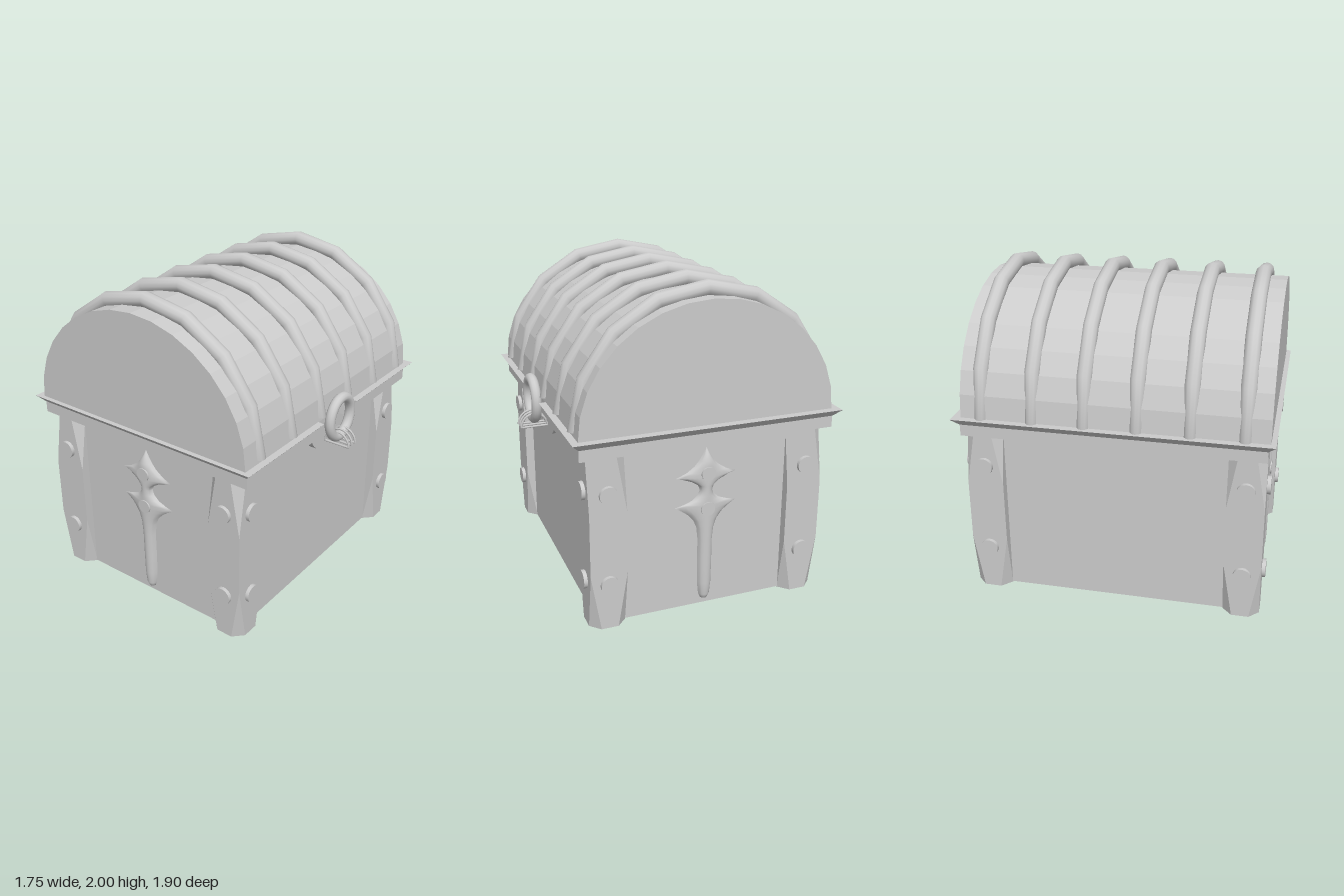
import * as THREE from 'three';

const CX = -0.043; // centre line of the chest in x
const flat = new THREE.MeshStandardMaterial({ color: 0xcccccc, flatShading: true });
const smooth = new THREE.MeshStandardMaterial({ color: 0xcccccc });
const smoothOpen = new THREE.MeshStandardMaterial({ color: 0xcccccc, side: THREE.DoubleSide });

function add(parent, name, geometry, material, x = 0, y = 0, z = 0) {
  const mesh = new THREE.Mesh(geometry, material);
  mesh.name = name;
  mesh.position.set(x, y, z);
  parent.add(mesh);
  return mesh;
}

// Solid through stacked horizontal outlines: [{ y, pts: [[x, z], ...] }]
function loft(sections) {
  const n = sections[0].pts.length;
  const pos = [], idx = [];
  sections.forEach(s => s.pts.forEach(([x, z]) => pos.push(x, s.y, z)));
  for (let k = 0; k < sections.length - 1; k++) {
    for (let i = 0; i < n; i++) {
      const a = k * n + i, b = k * n + (i + 1) % n;
      idx.push(a, a + n, b, b, a + n, b + n);
    }
  }
  // End caps, each triangle turned to face outward
  [[0, -1], [sections.length - 1, 1]].forEach(([k, dir]) => {
    const p = sections[k].pts;
    const tris = THREE.ShapeUtils.triangulateShape(p.map(q => new THREE.Vector2(q[0], q[1])), []);
    tris.forEach(([a, b, c]) => {
      const up = (p[b][1] - p[a][1]) * (p[c][0] - p[a][0]) - (p[b][0] - p[a][0]) * (p[c][1] - p[a][1]);
      if (up * dir < 0) [b, c] = [c, b];
      idx.push(k * n + a, k * n + b, k * n + c);
    });
  });
  const g = new THREE.BufferGeometry();
  g.setAttribute('position', new THREE.Float32BufferAttribute(pos, 3));
  g.setIndex(idx);
  g.computeVertexNormals();
  return g;
}

// Square post whose corners are chamfered toward both ends
function postGeometry() {
  const h = 0.1125;
  const outline = c => [[-h + c, -h], [h - c, -h], [h, -h + c], [h, h - c],
    [h - c, h], [-h + c, h], [-h, h - c], [-h, -h + c]];
  return loft([[0, 0.06], [0.355, 0], [0.735, 0], [1.08, 0.06]].map(([y, c]) => ({ y, pts: outline(c) })));
}

// Moulding with a notch in the +x side for the lock; o is the outward offset
function rimOutline(o) {
  const l = -0.832 - o, r = 0.742 + o, z = 0.905 + o;
  return [[l, -z], [r, -z], [r, -0.195], [0.6, -0.17], [0.6, 0.17], [r, 0.195], [r, z], [l, z]];
}

// Domed relief: half-width follows the profile, depth falls off to the edges
function ornamentGeometry() {
  const profile = [[0.04, 0], [0.05, 0.022], [0.08, 0.035], [0.16, 0.044], [0.3, 0.046], [0.45, 0.046],
    [0.53, 0.055], [0.58, 0.075], [0.62, 0.11], [0.65, 0.15], [0.678, 0.195], [0.69, 0.14], [0.71, 0.085],
    [0.74, 0.05], [0.775, 0.038], [0.805, 0.05], [0.83, 0.09], [0.85, 0.14], [0.865, 0.19],
    [0.89, 0.125], [0.925, 0.075], [0.96, 0.045], [1.0, 0.02], [1.038, 0]];
  const cols = 12, pos = [], idx = [];
  profile.forEach(([y, w], k) => {
    const depth = 0.04 * Math.min(1, w / 0.04);
    for (let i = 0; i <= cols; i++) {
      const x = w * (2 * i / cols - 1);
      const fall = w ? Math.sqrt(1 - (x / w) ** 2) * Math.exp(-((x / 0.15) ** 2)) : 0;
      pos.push(x, y, depth * fall);
      if (k && i) {
        const d = k * (cols + 1) + i, c = d - 1, b = d - cols - 1, a = b - 1;
        idx.push(a, b, d, a, d, c);
      }
    }
  });
  const g = new THREE.BufferGeometry();
  g.setAttribute('position', new THREE.Float32BufferAttribute(pos, 3));
  g.setIndex(idx);
  g.computeVertexNormals();
  return g;
}

// Half-ellipse path for the lid ribs
class ArchCurve extends THREE.Curve {
  getPoint(t, target = new THREE.Vector3()) {
    const a = Math.PI * (1 - t);
    return target.set(0.765 * Math.cos(a), 0.753 * Math.sin(a), 0);
  }
}

export function createModel() {
  const chest = new THREE.Group();
  chest.name = 'chest';

  add(chest, 'body', new THREE.BoxGeometry(1.355, 1.18, 1.7), flat, CX, 0.597, 0);

  // Corner posts with rivets on both outer faces
  const postGeo = postGeometry();
  const rivetGeo = new THREE.CylinderGeometry(0.055, 0.055, 0.05, 20);
  for (const sx of [-1, 1]) for (const sz of [-1, 1]) {
    const corner = new THREE.Group();
    corner.name = 'cornerPost';
    corner.position.set(CX + sx * 0.6225, 0, sz * 0.7925);
    add(corner, 'post', postGeo, flat);
    for (const y of [0.29, 0.857]) {
      add(corner, 'sideRivet', rivetGeo, smooth, sx * 0.11, y, 0).rotation.z = Math.PI / 2;
      add(corner, 'endRivet', rivetGeo, smooth, 0, y, sz * 0.11).rotation.x = Math.PI / 2;
    }
    chest.add(corner);
  }

  // Rim: upright band with a flared lip
  add(chest, 'rim', loft([[1.075, 0], [1.145, 0], [1.19, 0.043]]
    .map(([y, o]) => ({ y, pts: rimOutline(o) }))), flat);

  // Barrel lid
  const arch = new THREE.Shape();
  for (let i = 0; i <= 16; i++) {
    const a = Math.PI * i / 16;
    arch[i ? 'lineTo' : 'moveTo'](0.785 * Math.cos(a), 0.727 * Math.sin(a));
  }
  const lidGeo = new THREE.ExtrudeGeometry(arch, { depth: 1.815, bevelEnabled: false });
  add(chest, 'lid', lidGeo, flat, CX, 1.188, -0.897);

  // Ribs over the lid, thinner at their feet and leaning slightly
  const ribGeo = new THREE.TubeGeometry(new ArchCurve(), 8, 0.047, 12);
  const p = ribGeo.attributes.position;
  for (let i = 0; i < p.count; i++) {
    p.setZ(i, p.getZ(i) * (0.8 + 0.2 * Math.min(1, Math.max(0, p.getY(i)) / 0.3)));
  }
  for (let i = 0; i < 6; i++) {
    add(chest, 'lidRib', ribGeo, smoothOpen, CX, 1.2, -0.775 + i * 0.31).rotation.z = 0.015;
  }

  // Spiked ornament with two bosses on each end
  const ornamentGeo = ornamentGeometry();
  const bossGeo = new THREE.CylinderGeometry(0.044, 0.044, 0.04, 20);
  for (const s of [1, -1]) {
    const end = new THREE.Group();
    end.name = 'endOrnament';
    add(end, 'spikedRelief', ornamentGeo, smoothOpen);
    for (const y of [0.66, 0.885]) add(end, 'boss', bossGeo, smooth, 0, y, 0.025).rotation.x = Math.PI / 2;
    end.position.set(-0.037, 0, s * 0.854);
    if (s < 0) end.rotation.y = Math.PI;
    chest.add(end);
  }

  // Lock plate, ring and the three wire staples that hold it
  add(chest, 'lockPlate', new THREE.CylinderGeometry(0.168, 0.168, 0.1, 32), smooth, 0.632, 1.085, 0)
    .rotation.z = Math.PI / 2;
  const ring = add(chest, 'lockRing', new THREE.TorusGeometry(0.127, 0.032, 12, 32), smooth, 0.78, 1.16, 0);
  ring.rotation.y = Math.PI / 2;
  ring.scale.x = 0.93;
  const arcGeo = new THREE.TorusGeometry(0.083, 0.007, 6, 16, Math.PI);
  const barGeo = new THREE.CylinderGeometry(0.007, 0.007, 0.17, 6);
  for (const z of [-0.047, -0.008, 0.032]) {
    add(chest, 'stapleArc', arcGeo, smooth, 0.785, 0.988, z);
    add(chest, 'stapleBar', barGeo, smooth, 0.785, 0.988, z).rotation.z = Math.PI / 2;
  }
  return chest;
}
